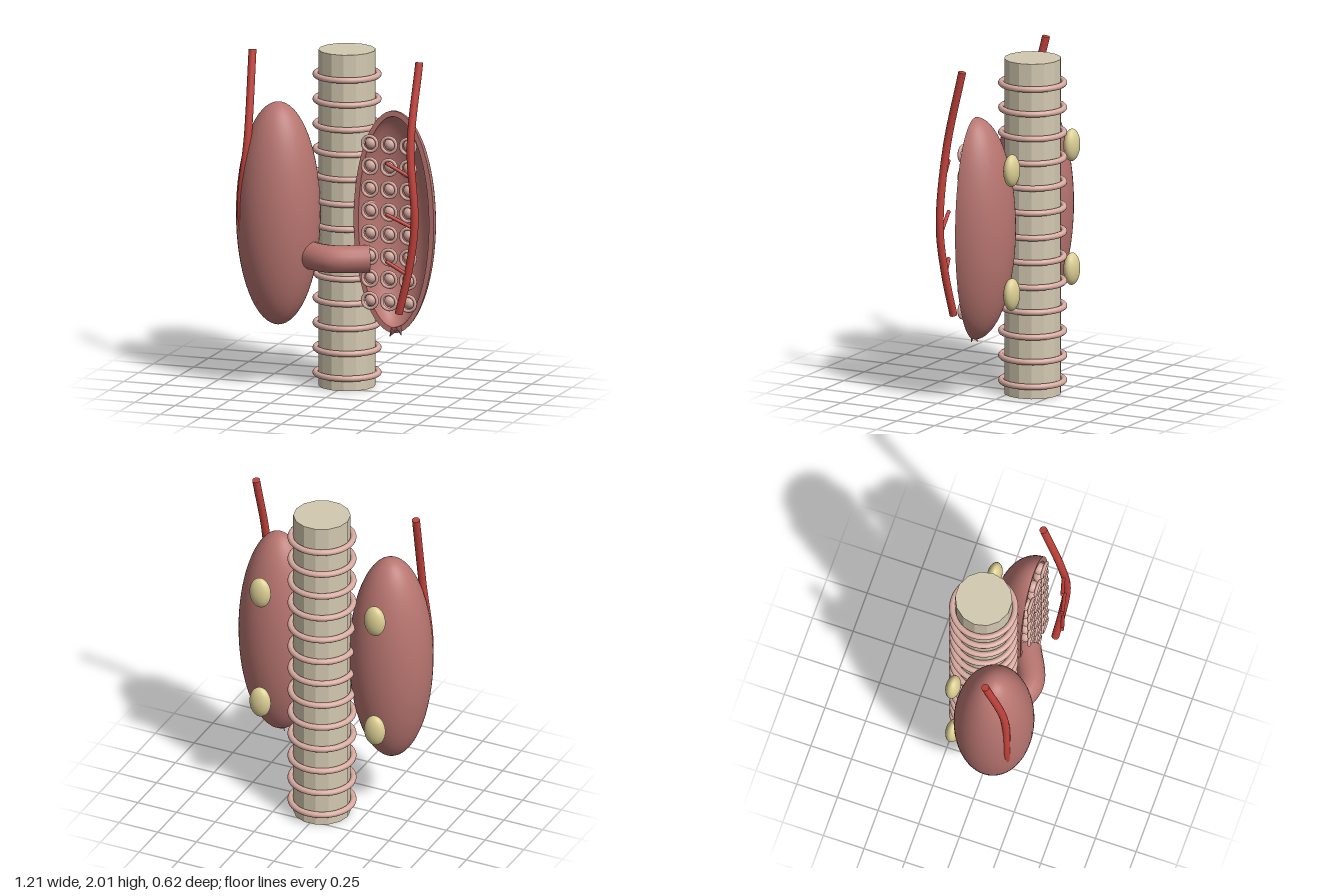
import * as THREE from 'three';

const mat = (color, extra = {}) => new THREE.MeshStandardMaterial({ color, ...extra });

export function createModel() {
  const root = new THREE.Group();
  const tissue = mat(0xb87570);
  const tissueInner = mat(0xb87570, { side: THREE.BackSide });
  const tissueOpen = mat(0xb87570, { side: THREE.DoubleSide });
  const pale = mat(0xd9aca2);
  const cartilage = mat(0xd3c9b0, { flatShading: true });
  const gland = mat(0xdccf94);
  const blood = mat(0xc2423b);

  const add = (name, geometry, material, x = 0, y = 0, z = 0) => {
    const mesh = new THREE.Mesh(geometry, material);
    mesh.name = name;
    mesh.position.set(x, y, z);
    root.add(mesh);
    return mesh;
  };
  // Tube along a smooth path, closed with a disc at each end
  const vessel = (name, points, radius, material, steps = 40) => {
    const curve = new THREE.CatmullRomCurve3(points.map(p => new THREE.Vector3(...p)));
    add(name, new THREE.TubeGeometry(curve, steps, radius, 16), material);
    for (const t of [0, 1]) {
      const p = curve.getPointAt(t);
      const out = curve.getTangentAt(t).multiplyScalar(t ? 1 : -1);
      const cap = add(name + 'End', new THREE.CircleGeometry(radius, 16), material, p.x, p.y, p.z);
      cap.lookAt(p.clone().add(out));
    }
  };

  // Windpipe with its rings
  const pipeZ = -0.11;
  add('windpipe', new THREE.CylinderGeometry(0.167, 0.167, 2, 14), cartilage, 0, 1, pipeZ)
    .rotation.y = Math.PI / 2;
  const ringGeo = new THREE.TorusGeometry(0.183, 0.018, 12, 48).rotateX(Math.PI / 2);
  for (let i = 0; i < 13; i++) add('windpipeRing', ringGeo, pale, 0, 0.077 + i * 0.148, pipeZ);

  // Whole lobe
  const cx = 0.357, cy = 1.037, cz = 0.077;
  add('wholeLobe', new THREE.SphereGeometry(1, 48, 32).scale(0.248, 0.662, 0.233), tissue, -cx, cy, cz);

  // Cut lobe: rear half shell, inner wall and flat rim
  const half = (rx, ry, rz) =>
    new THREE.SphereGeometry(1, 32, 32, Math.PI, Math.PI).scale(rx, ry, rz);
  add('cutLobeShell', half(0.248, 0.662, 0.233), tissue, cx, cy, cz);
  add('cutLobeCavity', half(0.218, 0.628, 0.205), tissueInner, cx, cy, cz);
  const rim = new THREE.Shape().absellipse(0, 0, 0.248, 0.662, 0, Math.PI * 2);
  rim.holes.push(new THREE.Path().absellipse(0, 0, 0.218, 0.628, 0, Math.PI * 2));
  add('cutLobeRim', new THREE.ShapeGeometry(rim, 32), tissueOpen, cx, cy, cz);
  for (const [x, y, tilt] of [[0.345, 0.375, 2.6], [0.395, 0.39, 3.5]]) {
    add('rimTip', new THREE.ConeGeometry(0.02, 0.06, 4), tissue, x, y, cz).rotation.z = tilt;
  }

  // Follicles: beads, each with a ring in front
  const bead = new THREE.SphereGeometry(0.037, 20, 14);
  const collar = new THREE.TorusGeometry(0.045, 0.01, 10, 28);
  for (let row = 0; row < 8; row++) {
    for (let col = 0; col < 3; col++) {
      const x = 0.22 + col * 0.118, y = 0.565 + row * 0.1335;
      add('follicle', bead, pale, x, y, 0.075);
      add('follicleRing', collar, pale, x, y, 0.106);
    }
  }

  // Bridge between the lobes
  vessel('isthmus', [[-0.21, 0.81, 0.085], [0, 0.81, 0.173], [0.212, 0.81, 0.085]], 0.082, tissue);

  // Small glands on the back and an artery on each side
  const glandGeo = new THREE.SphereGeometry(1, 28, 20).scale(0.066, 0.096, 0.043);
  for (const s of [-1, 1]) {
    for (const y of [0.67, 1.41]) add('smallGland', glandGeo, gland, s * 0.37, y, -0.17);
    vessel('artery', [[s * 0.516, 2, 0.078], [s * 0.503, 1.52, 0.19], [s * 0.537, 1.07, 0.215],
      [s * 0.493, 0.77, 0.202], [s * 0.427, 0.52, 0.183]], 0.023, blood);
  }
  // Artery branches over the cut lobe
  for (const [x, y] of [[0.51, 1.34], [0.535, 1.035], [0.495, 0.755]]) {
    vessel('arteryBranch', [[x, y, 0.205], [0.37, y + 0.085, 0.245]], 0.011, blood, 4);
  }
  return root;
}
